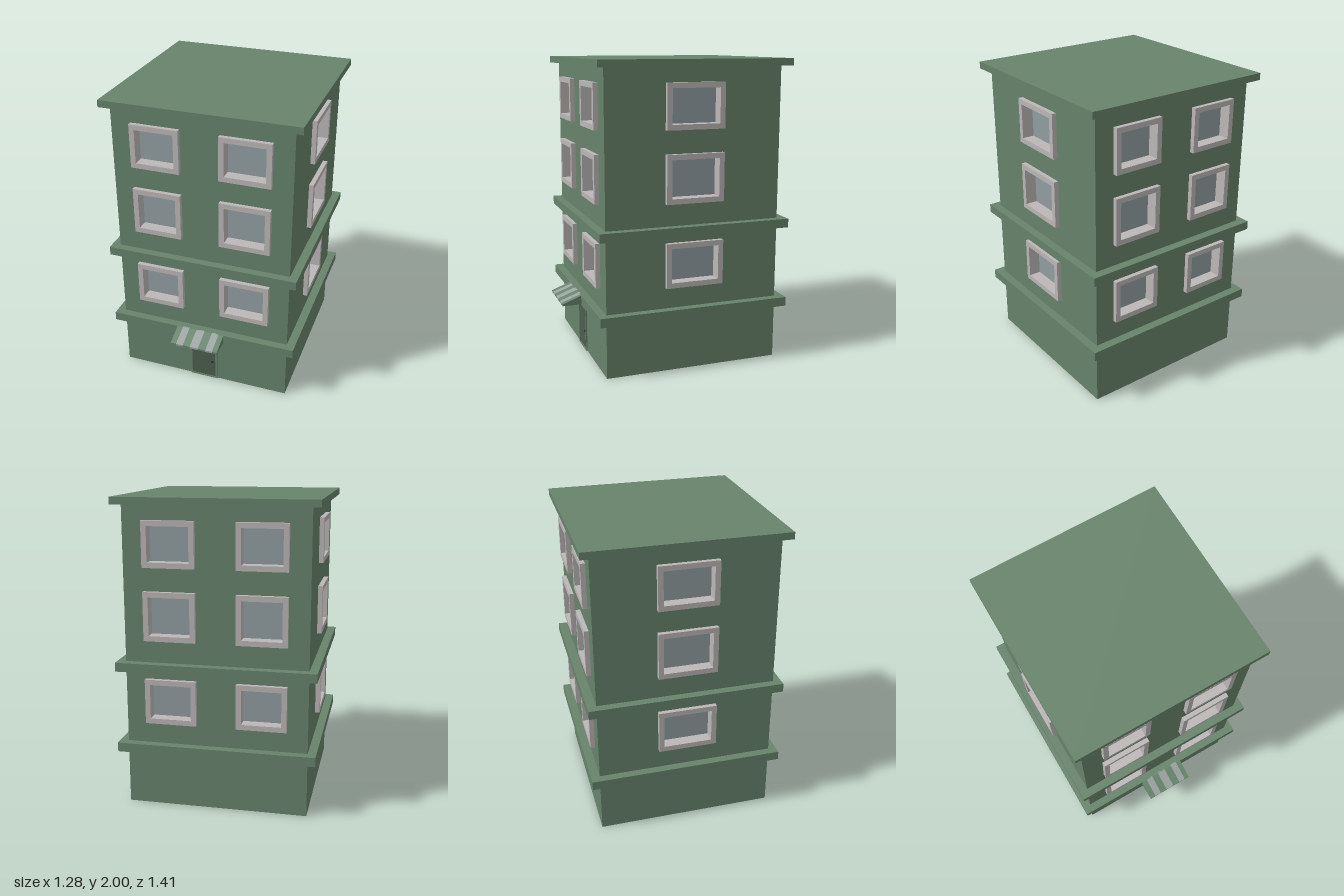
import * as THREE from 'three';

const paint = (color) => new THREE.MeshStandardMaterial({ color });
const GREEN = paint(0x67836b), FRAME = paint(0xbcb7b7), GLASS = paint(0x929da1);
const DOOR = paint(0x4c5e4e), STRIPE = paint(0x9aa39f), KNOB = paint(0x222222);

const HALF = 0.587, MID_Z = -0.06, TOP = 1.96; // body half width, centre in z, wall height
const REVEAL = 0.05, PROUD = 0.03;             // window depth into and out of the wall
const FLOORS = [[0.563, 0.855], [1.107, 1.42], [1.57, 1.86]];
const BORDER = 0.034;

function add(parent, name, geometry, material) {
  const mesh = new THREE.Mesh(geometry, material);
  mesh.name = name;
  parent.add(mesh);
  return mesh;
}

// Box given by its minimum and maximum on each axis
function box(parent, name, [x0, x1], [y0, y1], [z0, z1], material) {
  const mesh = add(parent, name, new THREE.BoxGeometry(x1 - x0, y1 - y0, z1 - z0), material);
  mesh.position.set((x0 + x1) / 2, (y0 + y1) / 2, (z0 + z1) / 2);
  return mesh;
}

function rectangle(x0, x1, y0, y1, Type = THREE.Shape) {
  const r = new Type();
  r.moveTo(x0, y0).lineTo(x1, y0).lineTo(x1, y1).lineTo(x0, y1).closePath();
  return r;
}

const extrude = (shape, depth) => new THREE.ExtrudeGeometry(shape, { depth, bevelEnabled: false });

// A wall whose outer face lies at local z = 0, with a window per column and floor
function wall(name, halfWidth, columns) {
  const group = new THREE.Group();
  group.name = name;
  const face = rectangle(-halfWidth, halfWidth, 0, TOP);
  for (const [x0, x1] of columns) {
    for (const [y0, y1] of FLOORS) {
      face.holes.push(rectangle(x0, x1, y0, y1, THREE.Path));
      const ring = rectangle(x0, x1, y0, y1);
      const inner = [x0 + BORDER, x1 - BORDER, y0 + BORDER, y1 - BORDER];
      ring.holes.push(rectangle(...inner, THREE.Path));
      add(group, 'windowFrame', extrude(ring, REVEAL + PROUD), FRAME).position.z = -REVEAL;
      box(group, 'windowGlass', [inner[0], inner[1]], [inner[2], inner[3]],
        [-REVEAL - 0.01, -REVEAL + 0.003], GLASS);
    }
  }
  add(group, 'wallFace', extrude(face, REVEAL), GREEN).position.z = -REVEAL;
  return group;
}

export function createModel() {
  const building = new THREE.Group();
  building.name = 'building';

  // Inner block behind the walls
  const inner = HALF - REVEAL;
  box(building, 'core', [-inner, inner], [0, TOP], [MID_Z - inner, MID_Z + inner], GREEN);

  // Four walls: two columns of windows front and back, one on each side
  const pair = [[-0.455, -0.133], [0.124, 0.457]];
  const mirrored = pair.map(([a, b]) => [-b, -a]);
  const walls = [
    ['frontWall', HALF, pair, 0],
    ['backWall', HALF, mirrored, Math.PI],
    ['leftWall', inner, [[-0.195, 0.191]], Math.PI / 2],
    ['rightWall', inner, [[-0.191, 0.195]], -Math.PI / 2],
  ];
  for (const [name, halfWidth, columns, angle] of walls) {
    const w = wall(name, halfWidth, columns);
    w.rotation.y = angle;
    w.position.set(Math.sin(angle) * HALF, 0, MID_Z + Math.cos(angle) * HALF);
    building.add(w);
  }

  // Overhanging ledges and flat roof
  for (const [name, y0, y1] of [['lowerLedge', 0.365, 0.425], ['upperLedge', 0.905, 0.963], ['roof', 1.955, 2]]) {
    box(building, name, [-0.642, 0.642], [y0, y1], [-0.705, 0.58], GREEN);
  }

  // Front door with a slim surround
  const front = MID_Z + HALF;
  const surround = rectangle(-0.1, 0.096, 0, 0.302);
  surround.holes.push(rectangle(-0.088, 0.083, 0.01, 0.294, THREE.Path));
  add(building, 'doorFrame', extrude(surround, 0.018), GREEN).position.z = front - 0.01;
  box(building, 'door', [-0.088, 0.083], [0.01, 0.294], [front - 0.01, front + 0.003], DOOR);
  const knob = add(building, 'doorKnob', new THREE.SphereGeometry(0.008, 12, 8), KNOB);
  knob.position.set(0.06, 0.135, front + 0.006);

  // Striped wedge awning; the profile is drawn as (-z, y) and turned to run along x
  const profile = new THREE.Shape();
  profile.moveTo(-0.708, 0.365).lineTo(-0.57, 0.365).lineTo(-0.57, 0.425)
    .lineTo(-0.58, 0.425).lineTo(-0.708, 0.378).closePath();
  const cuts = [-0.171, -0.132, -0.084, -0.034, 0.024, 0.078, 0.125, 0.159];
  for (let i = 0; i < cuts.length - 1; i++) {
    const strip = add(building, 'awningStripe', extrude(profile, cuts[i + 1] - cuts[i]), i % 2 ? STRIPE : GREEN);
    strip.rotation.y = Math.PI / 2;
    strip.position.x = cuts[i];
  }
  return building;
}
